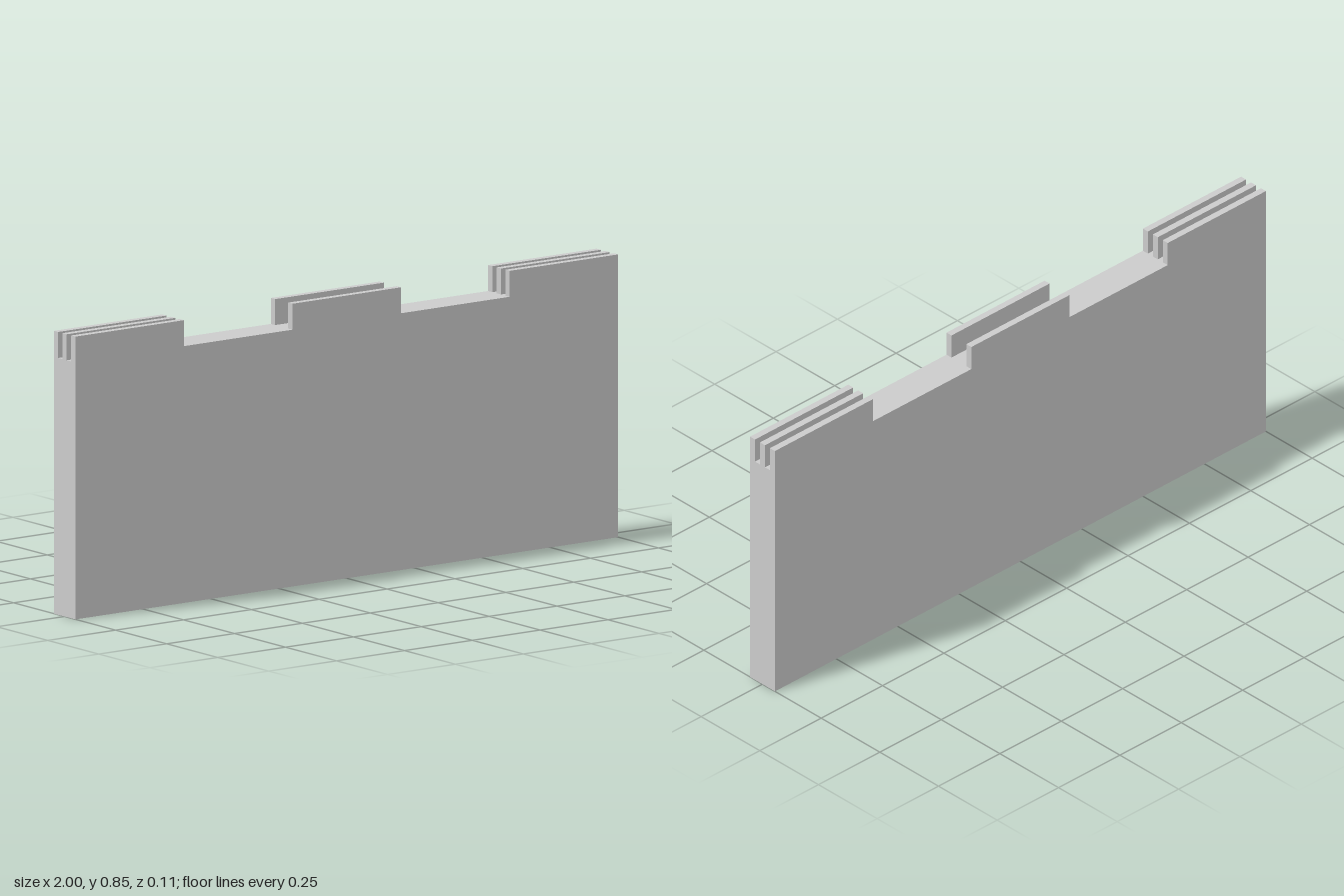
import * as THREE from 'three';

const DEPTH = 0.106;           // wall thickness
const BODY_H = 0.772;          // height of the solid wall
const TOP = 0.85;              // height of the raised fins
const FIN_W = 0.4;             // fin width, a fifth of the wall
const FIN_T = DEPTH / 5;       // fin thickness, a fifth of the depth

export function createModel() {
  const group = new THREE.Group();
  group.name = 'crenellatedWall';
  const material = new THREE.MeshStandardMaterial({ color: 0xcccccc, flatShading: true });

  const addBox = (name, w, h, d, x, y, z) => {
    const mesh = new THREE.Mesh(new THREE.BoxGeometry(w, h, d), material);
    mesh.name = name;
    mesh.position.set(x, y + h / 2, z);
    group.add(mesh);
  };

  // Solid wall
  addBox('wallBody', 2, BODY_H, DEPTH, 0, 0, 0);

  // Fins: three on each end block, only the outer two on the middle block
  const blocks = [
    { name: 'right', x: -0.8, layers: [-2, 0, 2] },
    { name: 'middle', x: 0, layers: [-2, 2] },
    { name: 'left', x: 0.8, layers: [-2, 0, 2] },
  ];
  const layerNames = { '-2': 'Back', 0: 'Center', 2: 'Front' };
  for (const { name, x, layers } of blocks) {
    for (const k of layers) {
      addBox(`${name}${layerNames[k]}Fin`, FIN_W, TOP - BODY_H, FIN_T, x, BODY_H, k * FIN_T);
    }
  }
  return group;
}
